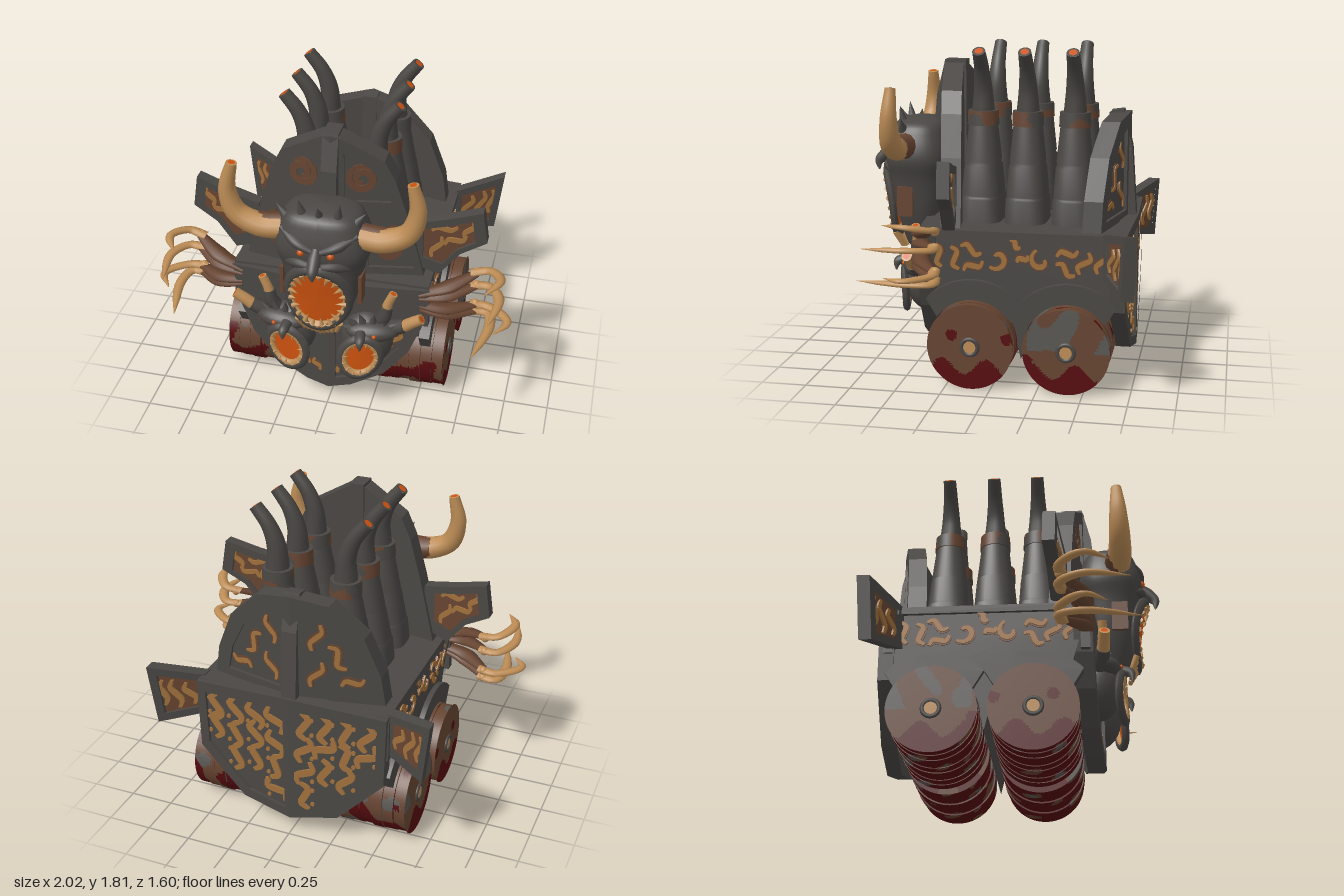
import * as THREE from 'three';

const mat = (name, color, side = THREE.FrontSide) => {
  const m = new THREE.MeshStandardMaterial({ color, side });
  m.name = name;
  return m;
};
const iron = mat('dark iron', 0x4a4744), rust = mat('rust', 0x664431), bronze = mat('bronze', 0xa0703c);
const bone = mat('bone', 0xbd8d56), red = mat('dried red', 0x560b0e), steel = mat('worn steel', 0x5a5854);
const glow = mat('furnace orange', 0xcc520f, THREE.DoubleSide);

const V = (x, y, z) => new THREE.Vector3(x, y, z);
const SIDES = [1, -1];
let seed = 7;
const rand = () => (seed = (seed * 16807) % 2147483647) / 2147483647;

function add(parent, name, geo, material, x = 0, y = 0, z = 0) {
  const m = new THREE.Mesh(geo, material);
  m.name = name;
  m.position.set(x, y, z);
  parent.add(m);
  return m;
}
function bendGeo(geo, rule) {
  const p = geo.attributes.position, v = V(0, 0, 0);
  for (let i = 0; i < p.count; i++) { rule(v.fromBufferAttribute(p, i)); p.setXYZ(i, v.x, v.y, v.z); }
  geo.computeVertexNormals();
  return geo;
}
// tapered tube along a curve, closed at the end, with an optional coloured bore; flat squashes its height
function horn(parent, name, pts, radii, material, bore = null, flat = 1) {
  const curve = new THREE.CatmullRomCurve3(pts), n = 20, rad = 12;
  const geo = new THREE.TubeGeometry(curve, n, 1, rad);
  const p = geo.attributes.position, v = V(0, 0, 0);
  for (let i = 0; i < p.count; i++) {
    const t = Math.floor(i / (rad + 1)) / n, k = t * (radii.length - 1), a = Math.min(Math.floor(k), radii.length - 2);
    const c = curve.getPointAt(t);
    v.fromBufferAttribute(p, i).sub(c).multiplyScalar(THREE.MathUtils.lerp(radii[a], radii[a + 1], k - a));
    v.y *= flat;
    p.setXYZ(i, v.x + c.x, v.y + c.y, v.z + c.z);
  }
  add(parent, name, geo, material);
  const dir = curve.getTangentAt(1);
  const cap = (n, r, m, lift) => {
    const e = curve.getPointAt(1).addScaledVector(dir, lift);
    add(parent, name + n, new THREE.CircleGeometry(r, 14), m, e.x, e.y, e.z).quaternion.setFromUnitVectors(V(0, 0, 1), dir);
  };
  if (flat === 1) cap('End', radii.at(-1), material, 0);
  if (bore) cap('Bore', radii.at(-1) * 0.65, bore, 0.002);
}
function spike(parent, name, a, b, r, material, r2 = 0) {
  const d = b.clone().sub(a), mid = a.clone().add(b).multiplyScalar(0.5);
  const m = add(parent, name, new THREE.CylinderGeometry(r2, r, d.length(), 10), material, mid.x, mid.y, mid.z);
  m.quaternion.setFromUnitVectors(V(0, 1, 0), d.normalize());
}
// flat shapes, extruded from depth a to b and laid on the surface z = zf(|x|, y)
const outline = (pts, s) => new THREE.Shape(pts.map(([x, y]) => new THREE.Vector2(x * s, y)));
function slab(parent, name, shapes, material, a, b, zf) {
  const geo = new THREE.ExtrudeGeometry(shapes, { depth: b - a, bevelEnabled: false, curveSegments: 8 });
  return add(parent, name, bendGeo(geo, v => { v.z += a + zf(Math.abs(v.x), v.y); }), material);
}
function ribbon(pts, w, s = 1) {
  const c = new THREE.SplineCurve(pts.map(([x, y]) => new THREE.Vector2(x * s, y))), n = 18, L = [], R = [];
  for (let i = 0; i <= n; i++) {
    const p = c.getPoint(i / n), t = c.getTangent(i / n), k = w * (0.5 + 0.5 * Math.sin(Math.PI * i / n)) / 2;
    L.push(new THREE.Vector2(p.x - t.y * k, p.y + t.x * k));
    R.unshift(new THREE.Vector2(p.x + t.y * k, p.y - t.x * k));
  }
  return new THREE.Shape([...L, ...R]);
}
const wave = (x, y, len, ang, amp) => [-0.5, -0.25, 0, 0.25, 0.5].map((t, i) => {
  const u = t * len, v = [0, 1, 0, -1, 0][i] * amp;
  return [x + u * Math.cos(ang) - v * Math.sin(ang), y + u * Math.sin(ang) + v * Math.cos(ang)];
});
const spiral = (x, y, r, turns, start = 1) => Array.from({ length: 14 }, (_, i) => {
  const k = 1 - i / 18, a = i / 13 * turns * Math.PI * 2 + start;
  return [x + r * k * Math.cos(a), y + r * k * Math.sin(a)];
});
const inset = (pts, k) => {
  const cx = pts.reduce((t, p) => t + p[0], 0) / pts.length, cy = pts.reduce((t, p) => t + p[1], 0) / pts.length;
  return pts.map(([x, y]) => [cx + (x - cx) * k, cy + (y - cy) * k]);
};
// rimmed armour plate with coloured recessed panels; dir is +1 facing front, -1 facing back
function plate(parent, name, pts, s, zf, depth, panels, panelMat, dir = 1) {
  const lay = (n, sh, m, h0, h1) => slab(parent, n, sh, m, dir > 0 ? h0 : -h1, dir > 0 ? h1 : -h0, zf);
  lay(name, outline(pts, s), iron, -depth, 0);
  const rim = outline(pts, s);
  rim.holes = panels.map(p => outline(p, s));
  lay(name + 'Rim', rim, iron, 0, 0.022);
  lay(name + 'Panel', panels.map(p => outline(p, s)), panelMat, 0, 0.004);
  return (shapes, m, top = 0.013) => lay(name + 'Ornament', shapes, m, 0.004, top);
}
// sorts the triangles of a geometry into material groups
function paint(geo, rule, count) {
  const p = geo.attributes.position, idx = geo.index.array, sets = Array.from({ length: count }, () => []);
  for (let i = 0; i < idx.length; i += 3) {
    const c = V(0, 0, 0), v = V(0, 0, 0);
    for (let j = 0; j < 3; j++) c.add(v.fromBufferAttribute(p, idx[i + j]));
    sets[rule(c.divideScalar(3))].push(idx[i], idx[i + 1], idx[i + 2]);
  }
  geo.clearGroups();
  geo.setIndex(sets.flat());
  let start = 0;
  sets.forEach((t, i) => { geo.addGroup(start, t.length, i); start += t.length; });
  return geo;
}
const noise = c => Math.sin(c.x * 31 + c.z * 9) + Math.sin(c.y * 33 - c.x * 14 + c.z * 5) + Math.sin(c.z * 37 + c.x * 17);
const stain = c => noise(c) * 0.4 + (0.18 - c.y) * 4 > 0 ? 1 : noise({ x: c.z + 2, y: c.x, z: c.y }) > (Math.abs(c.x) < 0.25 ? 0.5 : 1.4) ? 2 : 0;
const endStain = c => {
  const spot = Math.min(Math.hypot(c.z - 0.21, c.y - 0.3), Math.hypot(c.z + 0.09, c.y - 0.29), Math.hypot(c.z + 0.2, c.y - 0.18));
  if (spot < 0.032 || Math.sin(c.z * 26 + 1) * 0.35 + (0.125 - c.y) * 8 > 0) return 1;
  return c.z < -0.2 && c.y > 0.24 && noise({ x: c.z, y: c.x, z: c.y * 0.6 }) > 0.2 ? 2 : 0;
};

// ring of teeth around a glowing throat
function mouth(parent, rx, ry, n, tooth, bend, gum) {
  const curve = v => { v.z -= bend * v.x * v.x; };
  const ring = (r, k) => bendGeo(new THREE.TorusGeometry(1, r / rx, 8, 36), v => { v.x *= rx * k; v.y *= ry * k; v.z *= rx; curve(v); });
  add(parent, 'throat', bendGeo(new THREE.CircleGeometry(1, 36), v => { v.x *= rx; v.y *= ry; curve(v); }), glow);
  add(parent, 'lips', ring(0.022, 1.14), iron);
  add(parent, 'gums', ring(gum, 1.03), bone);
  for (let i = 0; i < n; i++) {
    const a = (i + 0.5) / n * Math.PI * 2, at = k => V(Math.cos(a) * rx * k, Math.sin(a) * ry * k, 0.014);
    const f = at(1.04), t = at(1 - tooth * (1 + 0.5 * (i % 2)));
    curve(f); curve(t);
    spike(parent, 'tooth', f, t, rx * 0.11, bone);
  }
}

function rollers(g) {
  for (const z of [0.11, -0.41]) for (const s of SIDES) {
    for (let i = 0; i < 9; i++) {
      const r = 0.235 - 0.004 * (i % 3);
      const geo = new THREE.CylinderGeometry(r, r, 0.063, 64, 4).rotateZ(Math.PI / 2).translate(s * (0.08 + i * 0.0657), 0.236, z);
      add(g, 'rollerDrum', paint(geo, stain, 3), [rust, red, steel]);
    }
    add(g, 'rollerCore', new THREE.CylinderGeometry(0.215, 0.215, 0.58, 32).rotateZ(Math.PI / 2), iron, s * 0.345, 0.236, z);
    const disc = new THREE.RingGeometry(0.01, 0.235, 64, 16).rotateY(s * Math.PI / 2).translate(s * 0.64, 0.236, z);
    add(g, 'rollerEnd', paint(disc, endStain, 3), [rust, red, steel]);
    add(g, 'hubRing', new THREE.TorusGeometry(0.044, 0.012, 8, 20).rotateY(Math.PI / 2), iron, s * 0.641, 0.236, z);
    add(g, 'hubCap', new THREE.CylinderGeometry(0.034, 0.034, 0.012, 16).rotateZ(Math.PI / 2), bone, s * 0.641, 0.236, z);
  }
}

function hull(g) {
  const sideways = (sh, w, x) => new THREE.ExtrudeGeometry(sh, { depth: w, bevelEnabled: false, curveSegments: 24 }).rotateY(-Math.PI / 2).translate(x + w / 2, 0, 0);
  const body = new THREE.Shape();
  body.moveTo(0.4, 0.5).absarc(0.11, 0.235, 0.24, 0.8, Math.PI, false).lineTo(-0.15, 0.15);
  body.absarc(-0.41, 0.235, 0.24, 0, Math.PI - 0.8, false).lineTo(-0.68, 0.5).lineTo(-0.68, 0.83).lineTo(0.4, 0.83);
  add(g, 'hull', sideways(body, 1.06, 0), iron);
  add(g, 'deck', new THREE.BoxGeometry(1.1, 0.04, 1.08), iron, 0, 0.835, -0.14);
  for (const s of SIDES) {
    for (const z of [0.11, -0.41]) {
      const arch = new THREE.Shape();
      arch.absarc(z, 0.235, 0.35, 0.74, Math.PI - 0.74, false).absarc(z, 0.235, 0.24, Math.PI - 0.6, 0.6, true);
      add(g, 'fender', sideways(arch, 0.06, s * 0.53), iron);
    }
    // side ornament band, bronze scrolls over rust blotches
    const band = new THREE.Group();
    band.name = 'sideBand';
    band.position.set(s * 0.53, 0, -0.14);
    band.rotation.y = s * Math.PI / 2;
    g.add(band);
    const lines = [];
    for (const e of SIDES) {
      lines.push(spiral(e * 0.12, 0.705, 0.062, 0.72, e > 0 ? 2 : 4), wave(e * 0.26, 0.75, 0.12, e * 0.3, 0.02), wave(e * 0.25, 0.66, 0.12, e * -0.5, 0.02));
      lines.push(wave(e * 0.35, 0.7, 0.13, e * 1.2, 0.025), wave(e * 0.44, 0.71, 0.13, e * 1.3, 0.02), wave(e * 0.02, 0.75 - e * 0.04, 0.07, e * 0.6, 0.015));
    }
    slab(band, 'bandRust', lines.map(l => ribbon(l, 0.046)), rust, 0, 0.004, () => 0);
    slab(band, 'bandOrnament', lines.map(l => ribbon(l, 0.028)), bronze, 0, 0.012, () => 0);
    for (const u of [-0.52, 0.52]) add(band, 'bandPost', new THREE.BoxGeometry(0.05, 0.24, 0.03), iron, u, 0.71, 0.01);
  }
  // ridge beams of the tall shields
  const beam = (name, pts) => add(g, name, sideways(outline(pts, 1), 0.085, 0), iron);
  beam('frontRidge', [[0.25, 0.8], [0.44, 0.8], [0.44, 1.3], [0.42, 1.52], [0.37, 1.72], [0.25, 1.72]]);
  beam('rearRidge', [[-0.55, 0.8], [-0.57, 1.45], [-0.64, 1.46], [-0.69, 1.25], [-0.72, 0.84], [-0.72, 0.8]]);
}

function shields(g, s) {
  const inlay = (lay, lines, w) => {
    lay(lines.map(l => ribbon(l, w * 1.9, s)), rust, 0.008);
    lay(lines.map(l => ribbon(l, w, s)), bronze);
  };
  // tall front shield with scrolls
  const lowP = [[0.2, 0.9], [0.45, 0.9], [0.38, 1.17], [0.2, 1.22]], highP = [[0.07, 1.32], [0.32, 1.32], [0.26, 1.5], [0.07, 1.61]];
  const upper = plate(g, 'frontShield', [[0, 0.82], [0.51, 0.82], [0.47, 0.98], [0.41, 1.22], [0.34, 1.45], [0.28, 1.57], [0.05, 1.7], [0, 1.71]], s,
    x => 0.36 - 0.17 * x, 0.09, [lowP, highP], iron);
  upper([ribbon(spiral(0.165, 1.455, 0.085, 1.6), 0.042, s), ribbon(spiral(0.32, 1.02, 0.08, 1.2), 0.05, s), ribbon(wave(0.31, 1.13, 0.14, 1.2, 0.02), 0.05, s)], rust);
  // lower front prow
  const prow = plate(g, 'prow', [[0, 0.1], [0.13, 0.13], [0.31, 0.23], [0.45, 0.4], [0.52, 0.58], [0.56, 0.84], [0, 0.84]], s,
    x => 0.45 - 0.1 * x, 0.08, [[[0.04, 0.17], [0.14, 0.19], [0.28, 0.28], [0.4, 0.43], [0.45, 0.6], [0.04, 0.6]]], iron);
  inlay(prow, [wave(0.07, 0.24, 0.08, 1.2, 0.015), wave(0.15, 0.25, 0.08, 0.3, 0.02), wave(0.38, 0.48, 0.12, 1.2, 0.02)], 0.026);
  // rear arch
  const rear = plate(g, 'rearArch', [[0, 0.82], [0.5, 0.82], [0.47, 1.02], [0.38, 1.24], [0.2, 1.41], [0, 1.45]], s,
    x => -0.66 + 0.22 * x, 0.08, [[[0.07, 0.9], [0.41, 0.9], [0.38, 1.04], [0.3, 1.2], [0.17, 1.32], [0.07, 1.36]]], iron, -1);
  inlay(rear, [wave(0.13, 1.22, 0.16, 1.3, 0.02), wave(0.13, 1.0, 0.16, 1.2, 0.02), wave(0.24, 1.11, 0.16, -0.9, 0.03), wave(0.32, 0.97, 0.13, 0.4, 0.02)], 0.028);
  // rear apron covered in squiggles
  const apronP = [[0.03, 0.16], [0.25, 0.22], [0.49, 0.47], [0.5, 0.79], [0.03, 0.8]];
  const apron = plate(g, 'rearApron', [[0, 0.1], [0.28, 0.17], [0.54, 0.44], [0.55, 0.85], [0, 0.87]], s, x => -0.71 + 0.04 * x, 0.06, [apronP], iron, -1);
  const marks = [];
  for (let i = 0; i < 4; i++) for (let j = 0; j < 4; j++) {
    const x = 0.085 + i * 0.118, y = Math.min(0.26 + j * 0.15 + (i % 2) * 0.03, 0.71);
    if (y < 0.2 + x * 0.65) continue;
    marks.push(ribbon(wave(x, y, 0.17, 0.9 + rand() * 1.2, 0.035), 0.042, s));
    for (const k of SIDES) marks.push(new THREE.Shape().absarc(s * (x + 0.045), y + 0.045 * k, 0.012, 0, Math.PI * 2));
  }
  apron(marks, bronze);
  // flared wings, decorated on both faces
  const wing = (name, pts, zf, lines) => {
    for (const dir of [1, -1]) plate(g, name, pts, s, (x, y) => zf(x, y) + dir * 0.012, 0.012, [inset(pts, 0.7)], rust, dir)(lines.map(l => ribbon(l, 0.03, s)), bronze);
  };
  wing('frontWing', [[0.43, 0.92], [0.58, 0.86], [0.69, 1.0], [0.83, 1.08], [0.8, 1.27], [0.62, 1.22], [0.43, 1.18]], x => 0.31 - 0.13 * x,
    [wave(0.6, 1.15, 0.14, 0.2, 0.015), wave(0.73, 1.15, 0.11, 1.2, 0.015), wave(0.66, 1.08, 0.13, 0.5, 0.02), wave(0.56, 1.03, 0.14, 1.2, 0.015)]);
  wing('rearWing', [[0.53, 0.62], [0.77, 0.57], [0.81, 0.92], [0.53, 0.86]], x => -0.63 - 0.5 * (x - 0.55),
    [wave(0.61, 0.74, 0.14, 1.3, 0.02), wave(0.68, 0.74, 0.18, 1.4, 0.02), wave(0.74, 0.75, 0.16, 1.5, 0.015)]);
}

// organ-like smokestack
function stack(g, s, z) {
  const prof = [[0.118, 0.84], [0.116, 0.98], [0.106, 0.99], [0.112, 1.0], [0.103, 1.16], [0.093, 1.17], [0.1, 1.185], [0.08, 1.39]];
  const geo = new THREE.LatheGeometry(prof.map(p => new THREE.Vector2(...p)), 32);
  bendGeo(geo, v => {
    const k = THREE.MathUtils.clamp((1.39 - v.y) / 0.5, 0, 1), a = Math.atan2(v.z, v.x);
    const q = 1 + k * ((Math.cos(a) ** 4 + Math.sin(a) ** 4) ** -0.25 - 1);
    v.x *= (1 + 0.45 * k) * q; v.z *= q;
  });
  add(g, 'stackBody', geo, iron, s * 0.195, 0, z);
  const collar = new THREE.CylinderGeometry(0.084, 0.088, 0.08, 32, 4).translate(s * 0.195, 1.42, z);
  add(g, 'stackCollar', paint(collar, c => c.y > 1.459 || noise(c) < -0.5 ? 1 : 0, 2), [rust, iron]);
  horn(g, 'stackPipe', [V(s * 0.195, 1.44, z), V(s * 0.2, 1.58, z), V(s * 0.24, 1.69, z), V(s * 0.315, 1.79, z)], [0.066, 0.053, 0.042, 0.036], iron, glow);
}

function demonHead(g) {
  const h = new THREE.Group();
  h.name = 'demonHead';
  g.add(h);
  const prof = new THREE.SplineCurve([[0.001, 0.63], [0.1, 0.64], [0.155, 0.74], [0.2, 0.88], [0.235, 1.05], [0.27, 1.17], [0.24, 1.29], [0.18, 1.37], [0.001, 1.4]].map(p => new THREE.Vector2(...p)));
  add(h, 'skull', bendGeo(new THREE.LatheGeometry(prof.getPoints(40), 40), v => {
    const a = Math.atan2(v.z, v.x), q = (Math.cos(a) ** 4 + Math.sin(a) ** 4) ** -0.15;
    v.x *= q * 0.97; v.z = v.z * q * 0.7 + 0.52;
  }), iron);
  const m = new THREE.Group();
  m.name = 'bigMouth';
  m.position.set(0, 0.9, 0.695);
  m.rotation.x = 0.14;
  h.add(m);
  mouth(m, 0.148, 0.178, 20, 0.2, 1.3, 0.014);
  for (let i = -4; i <= 4; i++) spike(h, 'jawRib', V(i * 0.029, 0.73, 0.69 - Math.abs(i) * 0.008), V(i * 0.022, 0.62 + Math.abs(i) * 0.006, 0.62), 0.018, bone, 0.012);
  horn(h, 'nose', [V(0, 1.21, 0.69), V(0, 1.16, 0.745), V(0, 1.12, 0.78), V(0, 1.07, 0.78)], [0.025, 0.036, 0.03, 0.004], iron);
  spike(h, 'crestSpike', V(0, 1.34, 0.6), V(0, 1.44, 0.65), 0.035, iron);
  for (const s of SIDES) {
    horn(h, 'browRidge', [V(s * 0.02, 1.2, 0.7), V(s * 0.1, 1.235, 0.69), V(s * 0.2, 1.28, 0.62)], [0.016, 0.03, 0.02], iron);
    add(h, 'eye', new THREE.SphereGeometry(0.02, 12, 8), glow, s * 0.08, 1.19, 0.702);
    horn(h, 'cheek', [V(s * 0.03, 1.12, 0.715), V(s * 0.11, 1.12, 0.69), V(s * 0.19, 1.09, 0.63)], [0.02, 0.03, 0.015], iron);
    spike(h, 'crestSpike', V(s * 0.09, 1.34, 0.6), V(s * 0.11, 1.46, 0.62), 0.035, iron);
    spike(h, 'crestSpike', V(s * 0.18, 1.32, 0.58), V(s * 0.24, 1.4, 0.58), 0.035, iron);
    add(h, 'jawPlate', new THREE.BoxGeometry(0.02, 0.17, 0.09), rust, s * 0.215, 0.93, 0.57);
    horn(h, 'greatHorn', [V(s * 0.19, 1.25, 0.57), V(s * 0.34, 1.25, 0.58), V(s * 0.46, 1.31, 0.58), V(s * 0.505, 1.44, 0.575), V(s * 0.475, 1.6, 0.57)],
      [0.068, 0.066, 0.058, 0.046, 0.03], bone, glow);
    horn(h, 'hornRoot', [V(s * 0.19, 1.253, 0.56), V(s * 0.27, 1.248, 0.565), V(s * 0.35, 1.257, 0.57)], [0.069, 0.069, 0.06], rust);
  }
}

function sideCreature(g, s) {
  // lesser head
  const h = new THREE.Group();
  h.name = 'lesserHead';
  h.position.set(s * 0.19, 0.44, 0.44);
  h.rotation.y = s * 0.15;
  g.add(h);
  add(h, 'lesserSkull', new THREE.SphereGeometry(1, 24, 16), iron, s * 0.03, 0.05, 0).scale.set(0.15, 0.18, 0.13);
  add(h, 'lesserBrow', new THREE.SphereGeometry(1, 20, 12), iron, s * 0.06, 0.14, 0.06).scale.set(0.15, 0.06, 0.08);
  const m = new THREE.Group();
  m.name = 'lesserMouth';
  m.position.z = 0.135;
  m.rotation.z = s * -0.35;
  h.add(m);
  mouth(m, 0.092, 0.112, 14, 0.2, 1, 0.02);
  horn(h, 'lesserNose', [V(0, 0.16, 0.12), V(0, 0.14, 0.18), V(0, 0.09, 0.19)], [0.03, 0.028, 0.004], iron);
  for (let i = 0; i < 7; i++) {
    const a = 0.1 + i * 0.45;
    spike(h, 'lesserSpike', V(s * 0.05 + Math.cos(a) * 0.1, 0.13 + Math.sin(a) * 0.04, 0.06), V(s * 0.05 + Math.cos(a) * 0.19, 0.14 + Math.sin(a) * 0.13, 0.08), 0.03, iron);
  }
  for (const e of SIDES) add(h, 'lesserEye', new THREE.SphereGeometry(0.012, 10, 8), glow, s * 0.03 + e * 0.045, 0.15, 0.138);
  // stub vents on iron roots
  horn(g, 'ventRoot', [V(s * 0.28, 0.6, 0.44), V(s * 0.32, 0.67, 0.47), V(s * 0.335, 0.74, 0.47)], [0.045, 0.04, 0.034], iron);
  horn(g, 'stubVent', [V(s * 0.33, 0.72, 0.47), V(s * 0.345, 0.77, 0.47), V(s * 0.37, 0.83, 0.47)], [0.028, 0.025, 0.024], bone, glow);
  horn(g, 'ventRoot', [V(s * 0.34, 0.57, 0.44), V(s * 0.39, 0.6, 0.46), V(s * 0.44, 0.63, 0.47)], [0.05, 0.045, 0.038], iron);
  horn(g, 'stubVent', [V(s * 0.43, 0.62, 0.47), V(s * 0.48, 0.66, 0.475), V(s * 0.53, 0.695, 0.48)], [0.035, 0.032, 0.03], bone, glow);
  // skeletal claw: flat rusty hand bones and pale blade-like talons
  const fingers = [[0.86, 0.94, 0.93, 0.86, 0.52], [0.81, 0.82, 0.93, 0.9, 0.62], [0.7, 0.675, 0.985, 0.92, 0.5], [0.655, 0.63, 0.89, 0.83, 0.67]];
  for (const [ky, ty, mx, tx, tz] of fingers) {
    const kn = (ky + ty) / 2, root = 0.755 + (ky - 0.755) * 0.45;
    horn(g, 'handBone', [V(s * 0.5, root, 0.39), V(s * 0.64, (root + kn) / 2, 0.37), V(s * 0.79, kn, 0.27)], [0.04, 0.055, 0.028], rust, null, 0.36);
    horn(g, 'claw', [V(s * 0.76, kn, 0.27), V(s * 0.86, (kn + ty) / 2, 0.26), V(s * mx, ty + 0.008, 0.38), V(s * tx, ty, tz)], [0.034, 0.03, 0.03, 0.022, 0.002], bone, null, 0.5);
    add(g, 'knuckle', new THREE.SphereGeometry(0.024, 12, 8), bone, s * 0.79, kn, 0.255);
  }
}

export function createModel() {
  const g = new THREE.Group();
  g.name = 'demonWarEngine';
  seed = 7;
  rollers(g);
  hull(g);
  demonHead(g);
  for (const s of SIDES) {
    shields(g, s);
    sideCreature(g, s);
    for (const z of [0.12, -0.13, -0.39]) stack(g, s, z);
  }
  return g;
}
